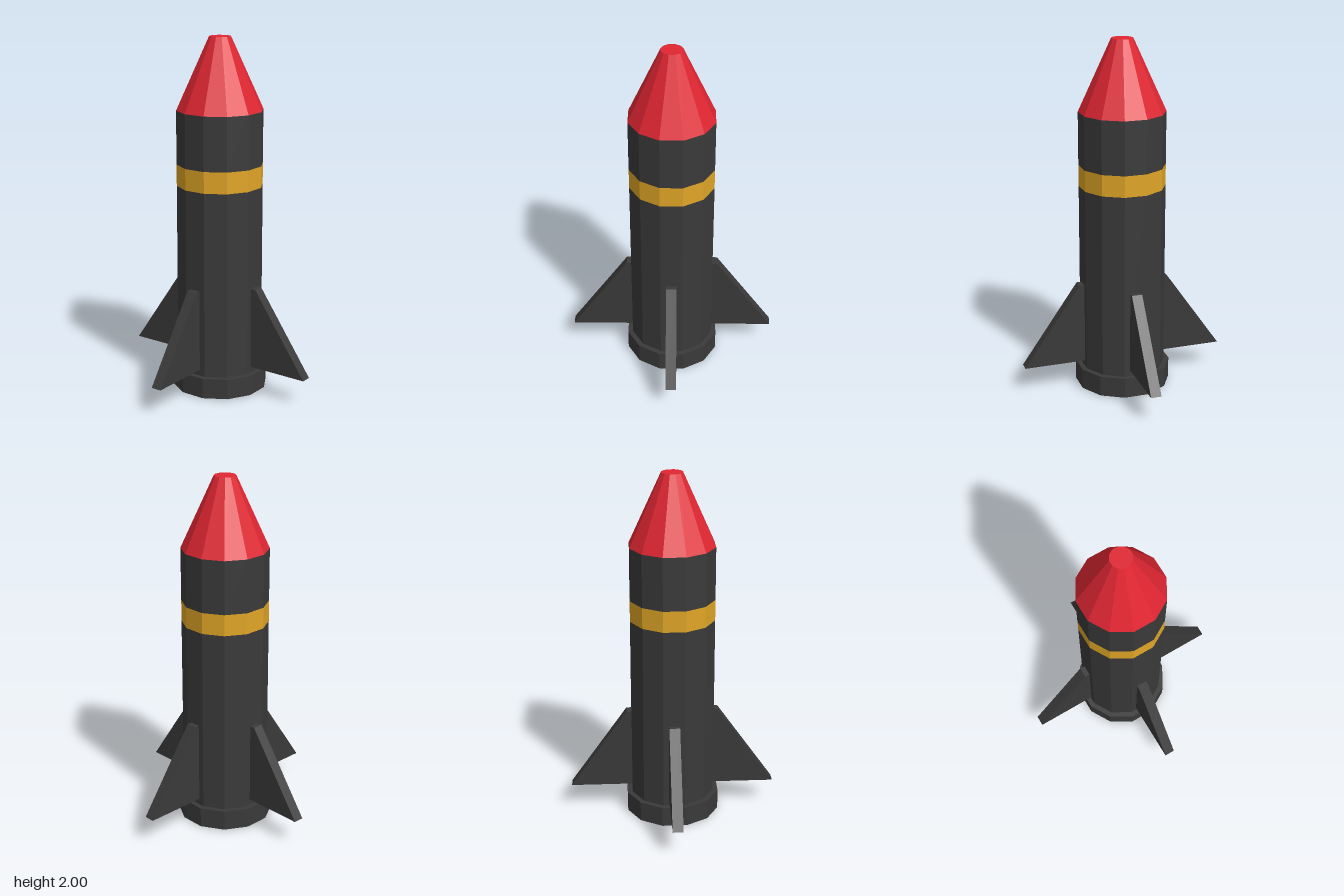
import * as THREE from 'three';

const SIDES = 12;
const flatToCorner = 1 / Math.cos(Math.PI / SIDES);

function material(name, color) {
  const m = new THREE.MeshStandardMaterial({ color });
  m.name = name;
  return m;
}

export function createModel() {
  const charcoal = material('charcoal', 0x3a3a3a);
  const red = material('red', 0xe02632);
  const gold = material('gold', 0xe0a526);
  for (const m of [charcoal, red, gold]) m.flatShading = true;

  const group = new THREE.Group();
  group.name = 'rocket';

  // Twelve-sided section, sized across its flats, with flats facing x and z
  function section(name, mat, topFlat, bottomFlat, y0, y1, open = false) {
    const geo = new THREE.CylinderGeometry(
      topFlat * flatToCorner, bottomFlat * flatToCorner, y1 - y0, SIDES, 1, open);
    geo.rotateY(Math.PI / SIDES);
    geo.translate(0, (y0 + y1) / 2, 0);
    const mesh = new THREE.Mesh(geo, mat);
    mesh.name = name;
    group.add(mesh);
  }

  // Engine base with the gold exhaust plate beneath
  section('engineBase', charcoal, 0.262, 0.262, 0.003, 0.12);
  section('exhaustPlate', gold, 0.238, 0.238, 0, 0.006);

  // Body, painted band and blunt nose
  section('lowerBody', charcoal, 0.234, 0.234, 0.12, 1.18, true);
  section('band', gold, 0.234, 0.234, 1.18, 1.3, true);
  section('upperBody', charcoal, 0.234, 0.234, 1.3, 1.6, true);
  section('noseCone', red, 0.058, 0.234, 1.6, 2);

  // Four swept fins
  const profile = new THREE.Shape([
    new THREE.Vector2(0.2, 0.155),
    new THREE.Vector2(0.587, 0.155),
    new THREE.Vector2(0.262, 0.62),
    new THREE.Vector2(0.2, 0.62),
  ]);
  const finGeo = new THREE.ExtrudeGeometry(profile, { depth: 0.06, bevelEnabled: false });
  finGeo.translate(0, 0, -0.03);
  ['leftFin', 'backFin', 'rightFin', 'frontFin'].forEach((name, i) => {
    const fin = new THREE.Mesh(finGeo, charcoal);
    fin.name = name;
    fin.rotation.y = i * Math.PI / 2;
    group.add(fin);
  });

  return group;
}
